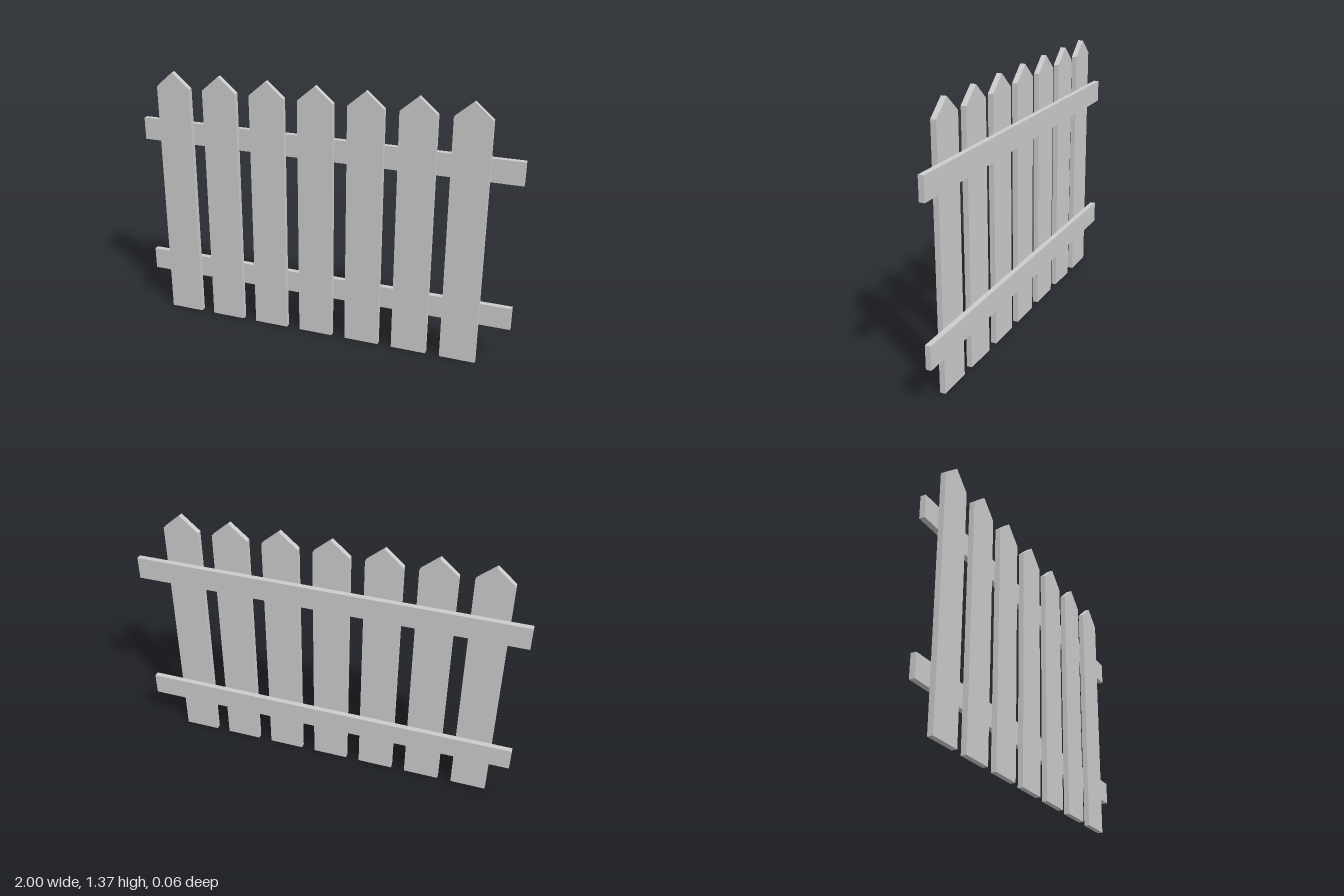
import * as THREE from 'three';

const material = new THREE.MeshStandardMaterial({ color: 0xcccccc, flatShading: true });
const THICKNESS = 0.028;

export function createModel() {
  const fence = new THREE.Group();
  fence.name = 'picketFence';

  // Pointed pickets, in front of the rails
  const halfWidth = 0.0925, shoulder = 1.285, tip = 1.365;
  const outline = new THREE.Shape([
    new THREE.Vector2(-halfWidth, 0),
    new THREE.Vector2(halfWidth, 0),
    new THREE.Vector2(halfWidth, shoulder),
    new THREE.Vector2(0, tip),
    new THREE.Vector2(-halfWidth, shoulder),
  ]);
  const picketGeometry = new THREE.ExtrudeGeometry(outline, { depth: THICKNESS, bevelEnabled: false });
  for (let i = 0; i < 7; i++) {
    const picket = new THREE.Mesh(picketGeometry, material);
    picket.name = `picket${i + 1}`;
    picket.position.x = -0.8 + i * 0.2583;
    fence.add(picket);
  }

  // Horizontal rails across the back
  const railGeometry = new THREE.BoxGeometry(2, 0.118, THICKNESS);
  for (const [name, y] of [['lowerRail', 0.27], ['upperRail', 1.038]]) {
    const rail = new THREE.Mesh(railGeometry, material);
    rail.name = name;
    rail.position.set(0, y, -THICKNESS / 2);
    fence.add(rail);
  }

  return fence;
}
